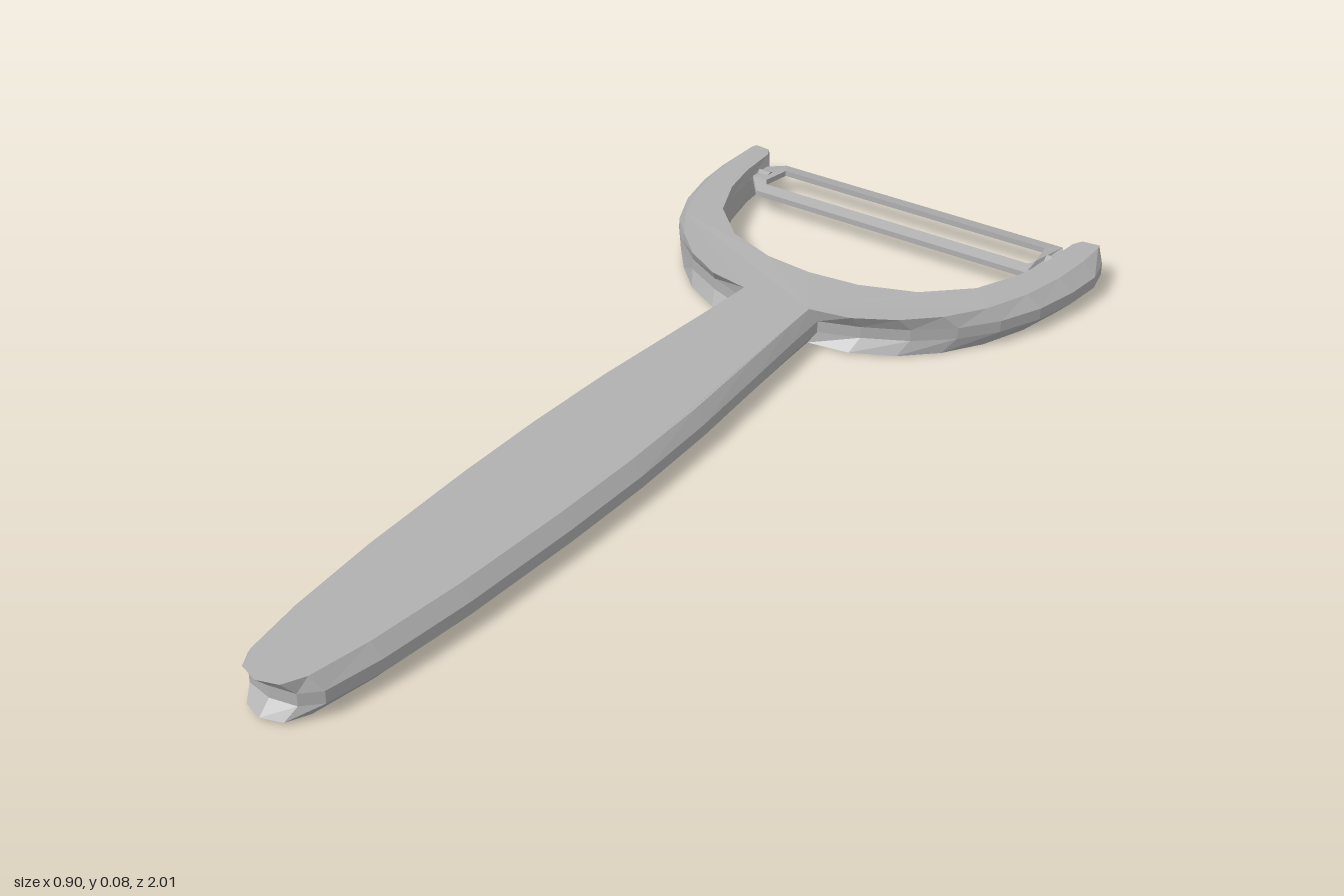
import * as THREE from 'three';

const grey = new THREE.MeshStandardMaterial({ color: 0xb0b0b0, flatShading: true });
grey.name = 'grey';

// Half outline of handle and fork, seen from above: [x, z, bevel inset]
const HALF = [
  [0, 0.99, 0.024], [0.05, 0.98, 0.024], [0.08, 0.95, 0.024], [0.1, 0.84, 0.022],
  [0.117, 0.65, 0.022], [0.127, 0.4, 0.022], [0.129, 0.2, 0.022], [0.122, 0, 0.02],
  [0.107, -0.2, 0.018], [0.096, -0.34, 0.016], [0.09, -0.438, 0.018],
  [0.17, -0.467, 0.026], [0.255, -0.512, 0.028], [0.325, -0.572, 0.03], [0.38, -0.645, 0.03],
  [0.42, -0.735, 0.03], [0.442, -0.83, 0.03], [0.45, -0.915, 0.03], [0.437, -0.975, 0.02],
  [0.42, -0.988, 0.012], [0.377, -0.988, 0.008], [0.362, -0.97, 0.008], [0.358, -0.88, 0.004],
  [0.343, -0.79, 0], [0.3, -0.69, 0], [0.215, -0.607, 0], [0.105, -0.563, 0], [0, -0.55, 0],
];

// Heights and the share of the bevel inset at each level
const LEVELS = [[0.007, 1], [0.03, 0], [0.054, 0], [0.08, 1]];

function frameGeometry() {
  const mirrored = HALF.slice(1, -1).reverse().map(([x, z, b]) => [-x, z, b]);
  const loop = [...HALF, ...mirrored];
  const n = loop.length;

  // Outward direction at each corner
  const normals = loop.map((p, i) => {
    const a = loop[(i + n - 1) % n], c = loop[(i + 1) % n];
    const d1 = new THREE.Vector2(a[1] - p[1], a[0] - p[0]).normalize();
    const d2 = new THREE.Vector2(p[1] - c[1], p[0] - c[0]).normalize();
    return d1.add(d2).normalize();
  });

  const positions = [], index = [];
  LEVELS.forEach(([y, share], level) => loop.forEach(([x, z, b], i) => {
    // The fork swells slightly above and below the handle
    const swell = THREE.MathUtils.smoothstep(-z, 0.4, 0.55) * THREE.MathUtils.smoothstep(z, -1, -0.8);
    const dy = level === 0 ? -0.006 * swell : level === 3 ? 0.005 * swell * (1 - Math.abs(x) / 0.45) : 0;
    positions.push(x - normals[i].x * b * share, y + dy, z + normals[i].y * b * share * -1);
  }));

  // Side bands
  for (let l = 0; l < LEVELS.length - 1; l++) {
    for (let i = 0; i < n; i++) {
      const a = l * n + i, b = l * n + (i + 1) % n;
      index.push(a, b, b + n, a, b + n, a + n);
    }
  }
  // Bottom and top faces
  const top = (LEVELS.length - 1) * n;
  const flat = loop.map((_, i) => new THREE.Vector2(positions[(top + i) * 3], -positions[(top + i) * 3 + 2]));
  for (const [a, b, c] of THREE.ShapeUtils.triangulateShape(flat, [])) {
    index.push(top + a, top + b, top + c, a, c, b);
  }
  const geometry = new THREE.BufferGeometry();
  geometry.setAttribute('position', new THREE.Float32BufferAttribute(positions, 3));
  geometry.setIndex(index);
  geometry.computeVertexNormals();
  return geometry;
}

// Slotted blade plate, slightly arched across its width
function bladeGeometry() {
  const points = (list) => list.map(([x, z]) => new THREE.Vector2(x, -z));
  const shape = new THREE.Shape(points([
    [-0.325, -0.858], [0.325, -0.858], [0.36, -0.9], [0.36, -0.955],
    [0.337, -1], [-0.337, -1], [-0.36, -0.955], [-0.36, -0.9],
  ]));
  shape.holes.push(new THREE.Path(points([
    [-0.315, -0.885], [-0.325, -0.9], [-0.315, -0.962], [0.315, -0.962], [0.325, -0.9], [0.315, -0.885],
  ])));
  const geometry = new THREE.ExtrudeGeometry(shape, { depth: 0.012, bevelEnabled: false });
  geometry.rotateX(-Math.PI / 2);
  const p = geometry.attributes.position;
  for (let i = 0; i < p.count; i++) {
    const t = (p.getZ(i) + 0.93) / 0.07;
    p.setY(i, p.getY(i) + 0.038 + 0.01 * (1 - t * t));
  }
  geometry.computeVertexNormals();
  return geometry;
}

export function createModel() {
  const group = new THREE.Group();
  group.name = 'peeler';
  const add = (name, geometry) => {
    const mesh = new THREE.Mesh(geometry, grey);
    mesh.name = name;
    group.add(mesh);
    return mesh;
  };

  // Handle and fork in one piece
  add('handleAndFork', fixFrame(frameGeometry()));
  add('blade', bladeGeometry());

  // Pivots holding the blade between the prongs
  for (const side of [-1, 1]) {
    const pin = add(side > 0 ? 'leftPivot' : 'rightPivot', new THREE.CylinderGeometry(0.012, 0.012, 0.04, 8));
    pin.rotation.z = Math.PI / 2;
    pin.position.set(side * 0.355, 0.05, -0.93);
  }
  return group;
}

// Rest the frame exactly on the ground
function fixFrame(geometry) {
  geometry.computeBoundingBox();
  return geometry.translate(0, -geometry.boundingBox.min.y, 0);
}
